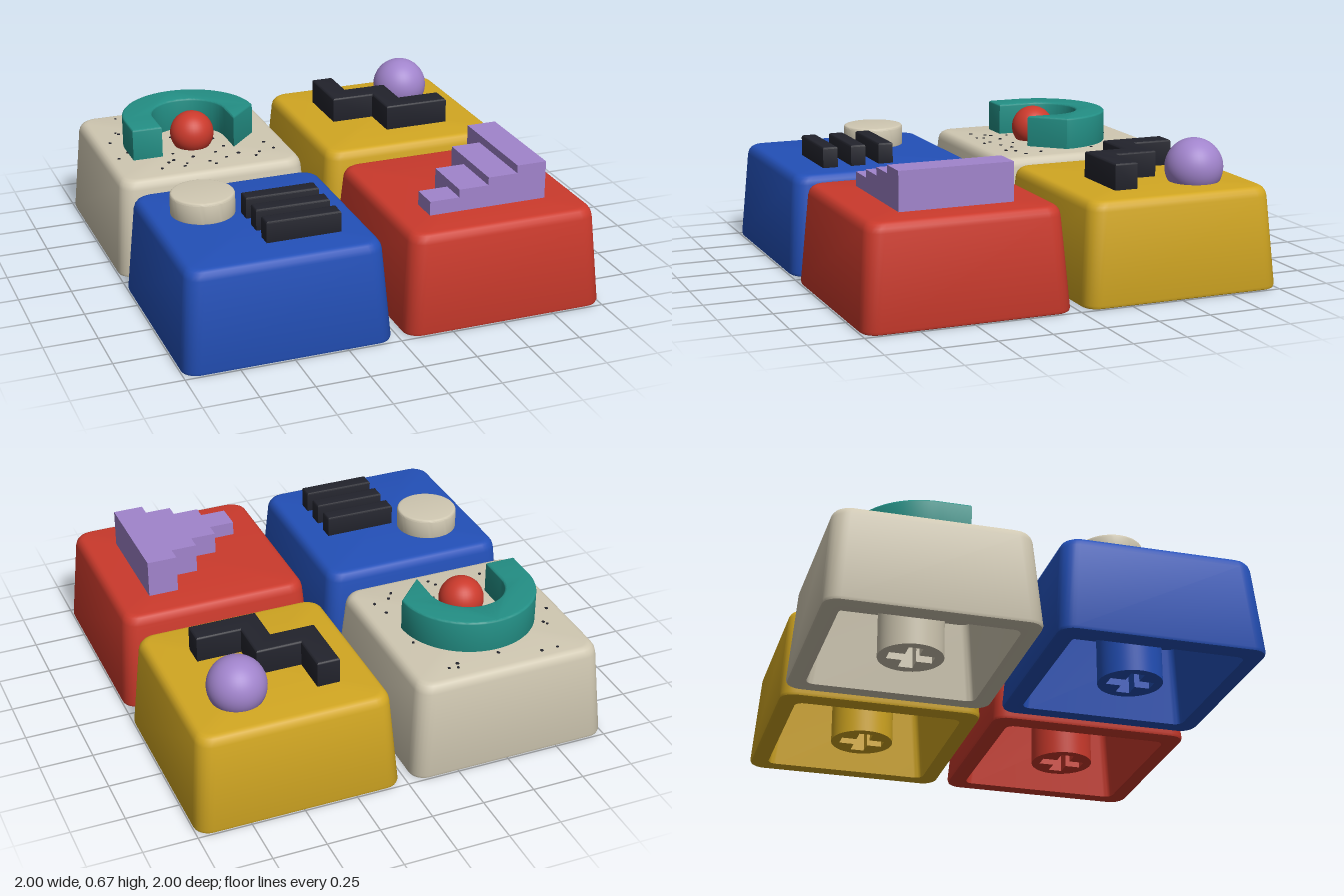
import * as THREE from 'three';
import { toCreasedNormals } from 'three/addons/utils/BufferGeometryUtils.js';

function mat(name, color) {
  const m = new THREE.MeshStandardMaterial({ color });
  m.name = name;
  return m;
}

const TOP = 0.475; // height of the cap tops

// Shell section: [half width, height, corner radius], from ceiling centre round the rim to top centre
const SHELL = [
  [0, 0.37, 0], [0.36, 0.37, 0.04], [0.4, 0, 0.04],
  [0.472, 0, 0.062], [0.481, 0.005, 0.07], [0.485, 0.018, 0.072],
  [0.452, 0.43, 0.075], [0.447, 0.45, 0.074], [0.437, 0.465, 0.07],
  [0.425, 0.473, 0.064], [0.412, TOP, 0.058], [0, TOP, 0],
];

// Loft of rounded squares
function shellGeometry() {
  const n = 6, pos = [], idx = [], count = 4 * (n + 1);
  for (const [half, y, r] of SHELL) {
    for (let c = 0; c < 4; c++) {
      const mid = Math.PI / 4 + c * Math.PI / 2;
      const cx = Math.sign(Math.cos(mid)) * (half - r);
      const cz = Math.sign(Math.sin(mid)) * (half - r);
      for (let k = 0; k <= n; k++) {
        const a = c * Math.PI / 2 + (k / n) * Math.PI / 2;
        pos.push(cx + r * Math.cos(a), y, -(cz + r * Math.sin(a)));
      }
    }
  }
  for (let j = 0; j < SHELL.length - 1; j++) {
    for (let i = 0; i < count; i++) {
      const a = j * count + i, b = j * count + (i + 1) % count;
      idx.push(a, b, b + count, a, b + count, a + count);
    }
  }
  const g = new THREE.BufferGeometry();
  g.setAttribute('position', new THREE.Float32BufferAttribute(pos, 3));
  g.setIndex(idx);
  return toCreasedNormals(g, 0.6);
}

// Upright slab from a plan shape (shape y is -z), with softened edges
function slabGeometry(shape, y0, y1, bevel) {
  const g = new THREE.ExtrudeGeometry(shape, {
    depth: y1 - y0 - 2 * bevel, bevelEnabled: bevel > 0, bevelSize: bevel,
    bevelThickness: bevel, bevelOffset: -bevel, bevelSegments: 3, curveSegments: 32,
  });
  g.rotateX(-Math.PI / 2);
  g.translate(0, y0 + bevel, 0);
  return toCreasedNormals(g, 0.6);
}

function planShape(points) {
  return new THREE.Shape(points.map(([x, z]) => new THREE.Vector2(x, -z)));
}

// Round stem with a cross-shaped socket
function stemGeometry() {
  const s = new THREE.Shape().absarc(0, 0, 0.15, 0, Math.PI * 2);
  const L = 0.105, w = 0.033;
  s.holes.push(new THREE.Path([
    [w, L], [w, w], [L, w], [L, -w], [w, -w], [w, -L],
    [-w, -L], [-w, -w], [-L, -w], [-L, w], [-w, w], [-w, L],
  ].map(([x, y]) => new THREE.Vector2(x, y))));
  return slabGeometry(s, 0, 0.372, 0);
}

export function createModel() {
  const blue = mat('blue', 0x2350b8);
  const red = mat('red', 0xcb3a2c);
  const yellow = mat('yellow', 0xd2a722);
  const cream = mat('cream', 0xd0c8b2);
  const teal = mat('teal', 0x238f85);
  const purple = mat('purple', 0xa184cc);
  const dark = mat('charcoal', 0x22232c);

  const model = new THREE.Group();
  model.name = 'keycapSet';
  const shell = shellGeometry(), stem = stemGeometry();

  const add = (parent, name, geometry, material, x = 0, y = 0, z = 0) => {
    const m = new THREE.Mesh(geometry, material);
    m.name = name;
    m.position.set(x, y, z);
    parent.add(m);
    return m;
  };

  // Four hollow caps with stems
  const cap = (name, material, sx, sz) => {
    const group = new THREE.Group();
    group.name = name;
    model.add(group);
    add(group, 'shell', shell, material, sx * 0.515, 0, sz * 0.515);
    add(group, 'stem', stem, material, sx * 0.515, 0, sz * 0.515);
    return group;
  };
  const blueCap = cap('blueCap', blue, -1, 1);
  const redCap = cap('redCap', red, 1, 1);
  const yellowCap = cap('yellowCap', yellow, 1, -1);
  const creamCap = cap('creamCap', cream, -1, -1);
  const base = TOP - 0.01;

  // Blue cap: disc and three bars
  const disc = new THREE.Shape().absarc(0, 0, 0.147, 0, Math.PI * 2);
  add(blueCap, 'disc', slabGeometry(disc, base, 0.573, 0.012), cream, -0.71, 0, 0.365);
  const bar = slabGeometry(
    planShape([[-0.173, 0.036], [0.173, 0.036], [0.173, -0.036], [-0.173, -0.036]]), base, 0.575, 0.01);
  for (const z of [0.475, 0.613, 0.752]) add(blueCap, 'bar', bar, dark, -0.38, 0, z);

  // Red cap: rising steps
  for (let i = 0; i < 4; i++) {
    const h = 0.542 + i * 0.0375 - base, d = 0.132 + i * 0.134;
    add(redCap, 'step', new THREE.BoxGeometry(0.143, h, d), purple,
      0.297 + i * 0.1425, base + h / 2, 0.77 - d / 2);
  }

  // Yellow cap: zigzag and ball
  const zigzag = planShape([
    [0.24, -0.77], [0.24, -0.465], [0.45, -0.465], [0.45, -0.27], [0.77, -0.27],
    [0.77, -0.38], [0.56, -0.38], [0.56, -0.58], [0.348, -0.58], [0.348, -0.77],
  ]);
  add(yellowCap, 'zigzag', slabGeometry(zigzag, base, 0.597, 0.01), dark);
  add(yellowCap, 'largeBall', new THREE.SphereGeometry(0.135, 40, 28), purple, 0.7, 0.538, -0.705);

  // Cream cap: arch and ball
  const arch = new THREE.Shape();
  arch.moveTo(0.325, -0.15);
  arch.absarc(0, 0, 0.325, 0, Math.PI, false);
  arch.lineTo(-0.325, -0.15);
  arch.lineTo(-0.18, -0.15);
  arch.absarc(0, 0, 0.18, Math.PI, 0, true);
  arch.lineTo(0.18, -0.15);
  add(creamCap, 'arch', slabGeometry(arch, base, 0.628, 0.01), teal, -0.515, 0, -0.475);
  add(creamCap, 'smallBall', new THREE.SphereGeometry(0.106, 36, 24), red, -0.515, 0.538, -0.432);

  // Speckles scattered on the cream top
  const speckle = new THREE.CylinderGeometry(0.009, 0.009, 0.004, 6);
  const spots = [
    [-0.78, -0.89], [-0.7, -0.89], [-0.51, -0.83], [-0.29, -0.87], [-0.25, -0.86], [-0.3, -0.84],
    [-0.83, -0.7], [-0.82, -0.68], [-0.89, -0.58], [-0.19, -0.61], [-0.9, -0.37], [-0.84, -0.43],
    [-0.81, -0.42], [-0.18, -0.33], [-0.16, -0.24], [-0.41, -0.21], [-0.48, -0.15], [-0.34, -0.24],
    [-0.61, -0.2], [-0.69, -0.24], [-0.74, -0.18], [-0.5, -0.62], [-0.48, -0.57], [-0.56, -0.27],
    [-0.64, -0.34], [-0.38, -0.35], [-0.27, -0.18], [-0.59, -0.55], [-0.5, -0.19], [-0.66, -0.26],
    [-0.44, -0.29], [-0.24, -0.22], [-0.4, -0.46], [-0.63, -0.17],
  ];
  spots.forEach(([x, z], i) => {
    const s = add(creamCap, 'speckle', speckle, dark, x, TOP + 0.001, z);
    s.rotation.y = i;
    s.scale.set(0.7 + (i % 3) * 0.2, 1, 0.8 + (i % 2) * 0.2);
  });

  return model;
}
